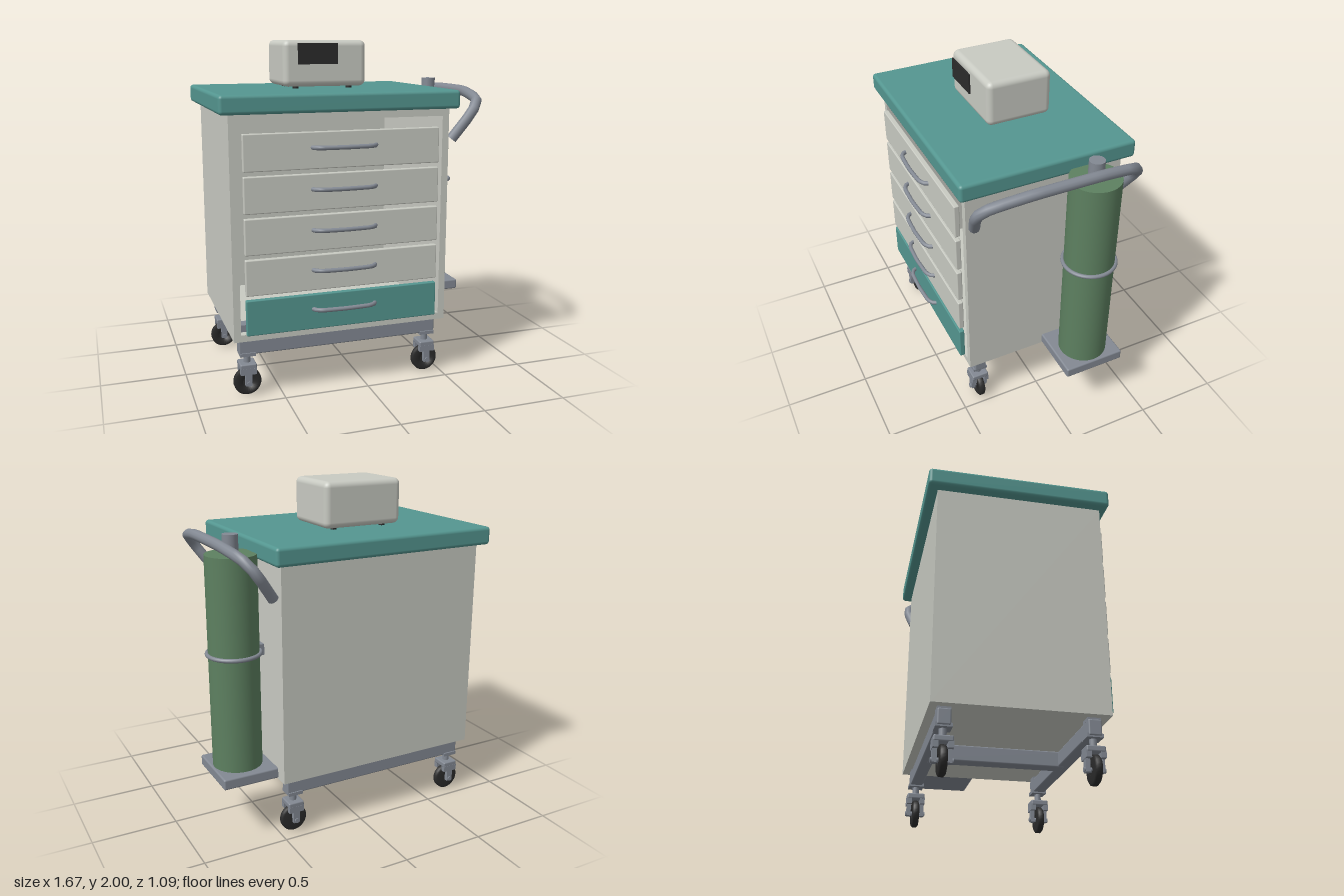
import * as THREE from 'three';
import { RoundedBoxGeometry } from 'three/addons/geometries/RoundedBoxGeometry.js';

const material = (name, color) => {
  const m = new THREE.MeshStandardMaterial({ color });
  m.name = name;
  return m;
};

export function createModel() {
  const root = new THREE.Group();
  root.name = 'medicalCart';
  const shell = material('warmGrey', 0xc8cac2);
  const teal = material('teal', 0x549690);
  const steel = material('steel', 0x838993);
  const green = material('bottleGreen', 0x5d8060);
  const black = material('black', 0x2b2b2b);

  const add = (parent, name, geometry, mat, x = 0, y = 0, z = 0) => {
    const mesh = new THREE.Mesh(geometry, mat);
    mesh.name = name;
    mesh.position.set(x, y, z);
    parent.add(mesh);
    return mesh;
  };
  // Box given by its limits; r rounds the edges
  const box = (parent, name, mat, [x0, x1], [y0, y1], [z0, z1], r = 0) => {
    const s = [x1 - x0, y1 - y0, z1 - z0];
    const g = r ? new RoundedBoxGeometry(...s, 3, r) : new THREE.BoxGeometry(...s);
    return add(parent, name, g, mat, (x0 + x1) / 2, (y0 + y1) / 2, (z0 + z1) / 2);
  };
  const group = (name, x = 0, y = 0, z = 0) => {
    const g = new THREE.Group();
    g.name = name;
    g.position.set(x, y, z);
    root.add(g);
    return g;
  };
  // Tube through points, with flat end caps
  const bar = (parent, name, points, radius, segments) => {
    const curve = new THREE.CatmullRomCurve3(points.map(p => new THREE.Vector3(...p)), false, 'catmullrom', 0.2);
    add(parent, name, new THREE.TubeGeometry(curve, segments, radius, 12), steel);
    [0, 1].forEach(t => {
      const end = curve.getPoint(t);
      const cap = add(parent, name + 'Cap', new THREE.CircleGeometry(radius, 12), steel, ...end.toArray());
      const out = curve.getTangent(t).multiplyScalar(t ? 1 : -1);
      cap.quaternion.setFromUnitVectors(new THREE.Vector3(0, 0, 1), out);
    });
  };

  // Open-fronted cabinet
  const cabinet = group('cabinet');
  const X = [-0.78, 0.5], Y = [0.35, 1.615], Z = [-0.485, 0.457], t = 0.04;
  box(cabinet, 'leftWall', shell, [X[1] - t, X[1]], Y, Z);
  box(cabinet, 'rightWall', shell, [X[0], X[0] + t], Y, Z);
  box(cabinet, 'floor', shell, [X[0] + t, X[1] - t], [Y[0], Y[0] + t], Z);
  box(cabinet, 'ceiling', shell, [X[0] + t, X[1] - t], [Y[1] - t, Y[1]], Z);
  box(cabinet, 'backWall', shell, [X[0] + t, X[1] - t], [Y[0] + t, Y[1] - t], [Z[0], Z[0] + t]);
  box(root, 'worktop', teal, [-0.835, 0.55], [1.617, 1.722], [-0.542, 0.503], 0.02);

  // Drawer fronts with bowed handles
  for (let i = 0; i < 5; i++) {
    const drawer = group('drawer', -0.143, 0.493 + i * 0.23, 0);
    box(drawer, 'drawerFront', i ? shell : teal, [-0.569, 0.569], [-0.102, 0.102], [0.457, 0.489], 0.006);
    bar(drawer, 'drawerHandle', [
      [-0.185, 0.017, 0.485], [-0.172, 0.017, 0.51], [-0.135, 0.017, 0.526], [0, 0.017, 0.533],
      [0.135, 0.017, 0.526], [0.172, 0.017, 0.51], [0.185, 0.017, 0.485],
    ], 0.0125, 16);
  }

  // Underframe
  const frame = group('underframe');
  const railZ = [0.372, -0.407];
  railZ.forEach(z => box(frame, 'longRail', steel, [-0.745, 0.46], [0.25, 0.337], [z - 0.036, z + 0.036], 0.008));
  box(frame, 'crossRail', steel, [-0.187, -0.097], [0.246, 0.338], [railZ[1], railZ[0]], 0.008);

  // Casters with mounting posts
  const tyre = new THREE.LatheGeometry([
    [0.03, -0.02], [0.07, -0.02], [0.08, -0.012], [0.08, 0.012], [0.07, 0.02], [0.03, 0.02], [0.03, -0.02],
  ].map(p => new THREE.Vector2(...p)), 28).rotateX(Math.PI / 2);
  const hub = new THREE.CylinderGeometry(0.031, 0.031, 0.034, 20).rotateX(Math.PI / 2);
  const axle = new THREE.CylinderGeometry(0.014, 0.014, 0.116, 14).rotateX(Math.PI / 2);
  for (const x of [-0.695, 0.41]) for (const z of railZ) {
    const caster = group('caster', x, 0, z);
    box(caster, 'mountPost', steel, [-0.036, 0.036], [0.33, 0.43], [-0.036, 0.036]);
    box(caster, 'mountPlate', steel, [-0.045, 0.045], [0.242, 0.262], [-0.044, 0.044]);
    add(caster, 'stem', new THREE.CylinderGeometry(0.02, 0.02, 0.06, 16), steel, 0, 0.22, 0);
    box(caster, 'forkCrown', steel, [-0.048, 0.048], [0.165, 0.198], [-0.052, 0.052], 0.008);
    for (const s of [-0.039, 0.039]) {
      box(caster, 'forkShoulder', steel, [-0.046, 0.046], [0.135, 0.172], [s - 0.014, s + 0.014]);
      box(caster, 'forkLeg', steel, [-0.019, 0.019], [0.066, 0.14], [s - 0.012, s + 0.012]);
    }
    add(caster, 'tyre', tyre, black, 0, 0.08, 0);
    add(caster, 'hub', hub, black, 0, 0.08, 0);
    add(caster, 'axle', axle, steel, 0, 0.08, 0);
  }

  // Gas bottle on its side tray
  const bottle = group('gasBottle', 0.672, 0, -0.217);
  box(bottle, 'tray', steel, [-0.19, 0.158], [0.354, 0.418], [-0.187, 0.187], 0.01);
  add(bottle, 'tank', new THREE.CylinderGeometry(0.144, 0.144, 1.232, 40), green, 0, 1.034, 0);
  add(bottle, 'valve', new THREE.CylinderGeometry(0.044, 0.044, 0.11, 20), steel, 0, 1.702, 0);
  add(bottle, 'strap', new THREE.TorusGeometry(0.15, 0.012, 10, 40).rotateX(Math.PI / 2), steel, 0, 1.09, 0);
  box(bottle, 'strapBracket', steel, [-0.252, -0.132], [1.058, 1.122], [-0.03, 0.03]);

  // Push handle, mirrored front to back
  const half = [[0.535, 1.435, 0.44], [0.645, 1.59, 0.475], [0.7, 1.66, 0.42], [0.73, 1.695, 0.19]];
  const push = group('pushHandle', 0, 0, -0.018);
  bar(push, 'pushBar', [...half, ...half.map(([x, y, z]) => [x, y, -z]).reverse()], 0.031, 20);

  // Instrument box on the worktop
  const monitor = group('monitor');
  box(monitor, 'housing', shell, [-0.393, 0.108], [1.735, 2.0], [-0.25, 0.14], 0.035);
  box(monitor, 'screen', black, [-0.315, -0.078], [1.864, 1.982], [0.162, 0.171]);
  for (const x of [-0.305, 0.02]) for (const z of [-0.18, 0.07])
    add(monitor, 'foot', new THREE.CylinderGeometry(0.018, 0.018, 0.03, 14), black, x, 1.73, z);

  return root;
}
